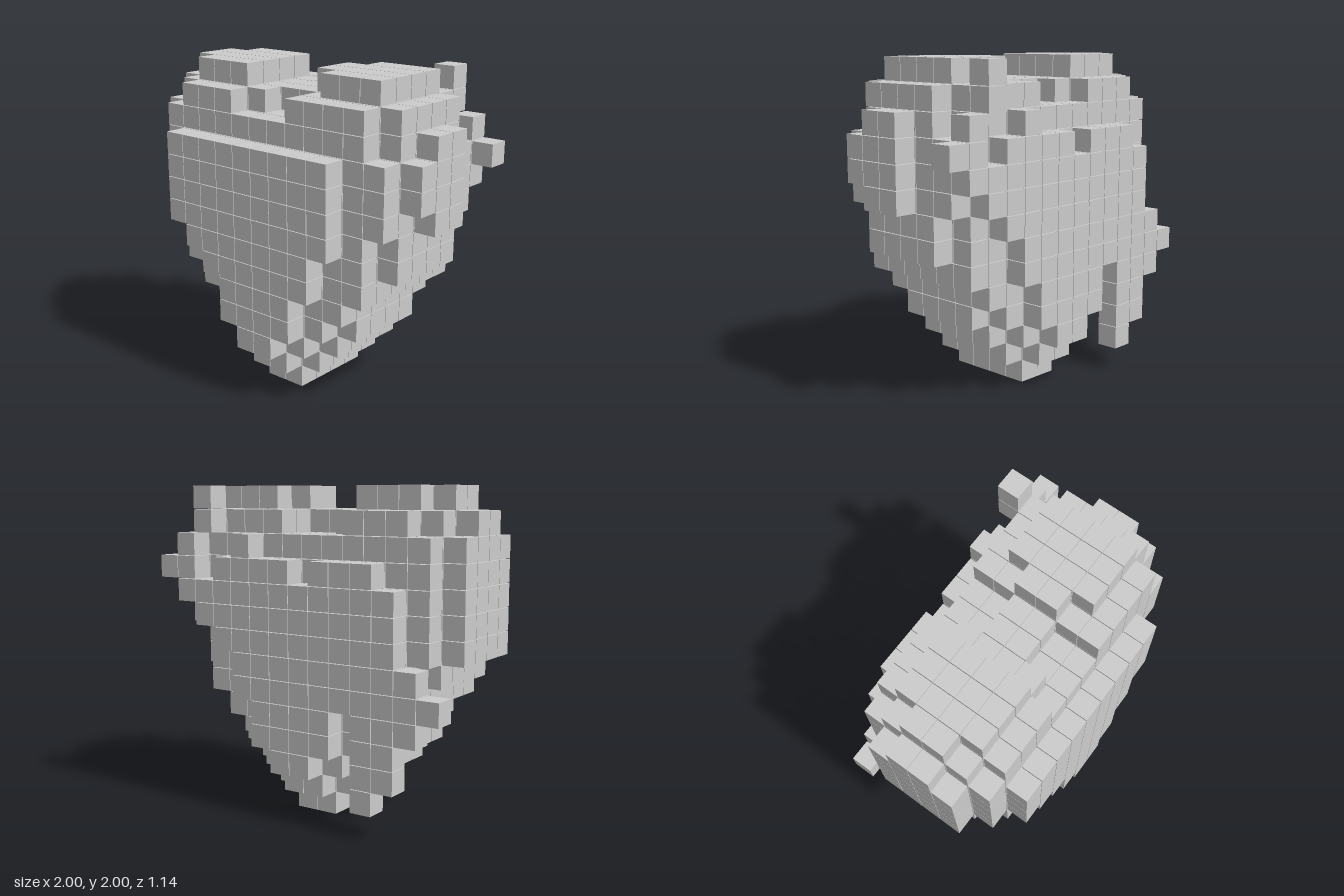
import * as THREE from 'three';
import { mergeGeometries } from 'three/addons/utils/BufferGeometryUtils.js';

const SIZE = 0.139;               // cube edge
const PITCH = (2 - SIZE) / 13;    // 14 columns fill 2 units

// Heart slices: column spans per row, top row (13) first, '+' joins two spans.
const core = '1-4+8-11 0-12 0-13 0-13 0-13 0-13 0-12 1-12 2-11 3-10 3-10 4-9 5-8 6-7';
const inner = '2-4+9-11 1-5+8-12 0-12 0-13 0-13 0-12 0-12 1-12 2-11 3-10 3-10 4-9 5-8 6-7';
const innerBack = inner.replaceAll('0-13', '0-12');
const outer = '- 2-4+8-11 1-11 1-12 1-12 1-12 1-11 2-11 2-11 3-10 4-9 5-8 6-7 -';
const front = '- - - 2-10 2-10 2-10 2-10 3-9 4-9 5-8 5-8 6-7 - -';
const back = '- - - 3-5+7-10 2-11 2-11 2-10 3-9 4-9 5-8 5-8 6-7 - -';
const slices = [back, outer, innerBack, core, core, inner, outer, front]; // back to front

// Arrow cubes on the back layer: [column, row]
const fletching = [[11, 13], [11, 12], [12, 11], [12, 10], [12, 9], [13, 10], [9, 11]];
const arrowHead = [[1, 6], [2, 6], [0, 5], [1, 5], [2, 5], [3, 5], [1, 4], [2, 4], [3, 4],
  [2, 3], [3, 3], [2, 2], [3, 2], [3, 1]];

function cube(i, j, k) {
  return new THREE.BoxGeometry(SIZE, SIZE, SIZE)
    .translate((i - 6.5) * PITCH, SIZE / 2 + j * PITCH, (k - 3.5) * PITCH);
}

function sliceCells(slice, k) {
  const cells = [];
  slice.split(' ').forEach((row, r) => {
    if (row === '-') return;
    for (const span of row.split('+')) {
      const [a, b] = span.split('-').map(Number);
      for (let i = a; i <= b; i++) cells.push([i, 13 - r, k]);
    }
  });
  return cells;
}

export function createModel() {
  const group = new THREE.Group();
  group.name = 'voxelHeart';
  const material = new THREE.MeshStandardMaterial({ color: 0xcccccc, flatShading: true });
  const addPart = (name, cells) => {
    const mesh = new THREE.Mesh(mergeGeometries(cells.map(([i, j, k]) => cube(i, j, k))), material);
    mesh.name = name;
    group.add(mesh);
  };

  // Heart body, slice by slice
  addPart('heartBody', slices.flatMap(sliceCells));

  // Arrow ends standing out of the back layer
  const onBack = ([i, j]) => [i, j, 0];
  addPart('arrowFletching', fletching.map(onBack));
  addPart('arrowHead', arrowHead.map(onBack));

  return group;
}
